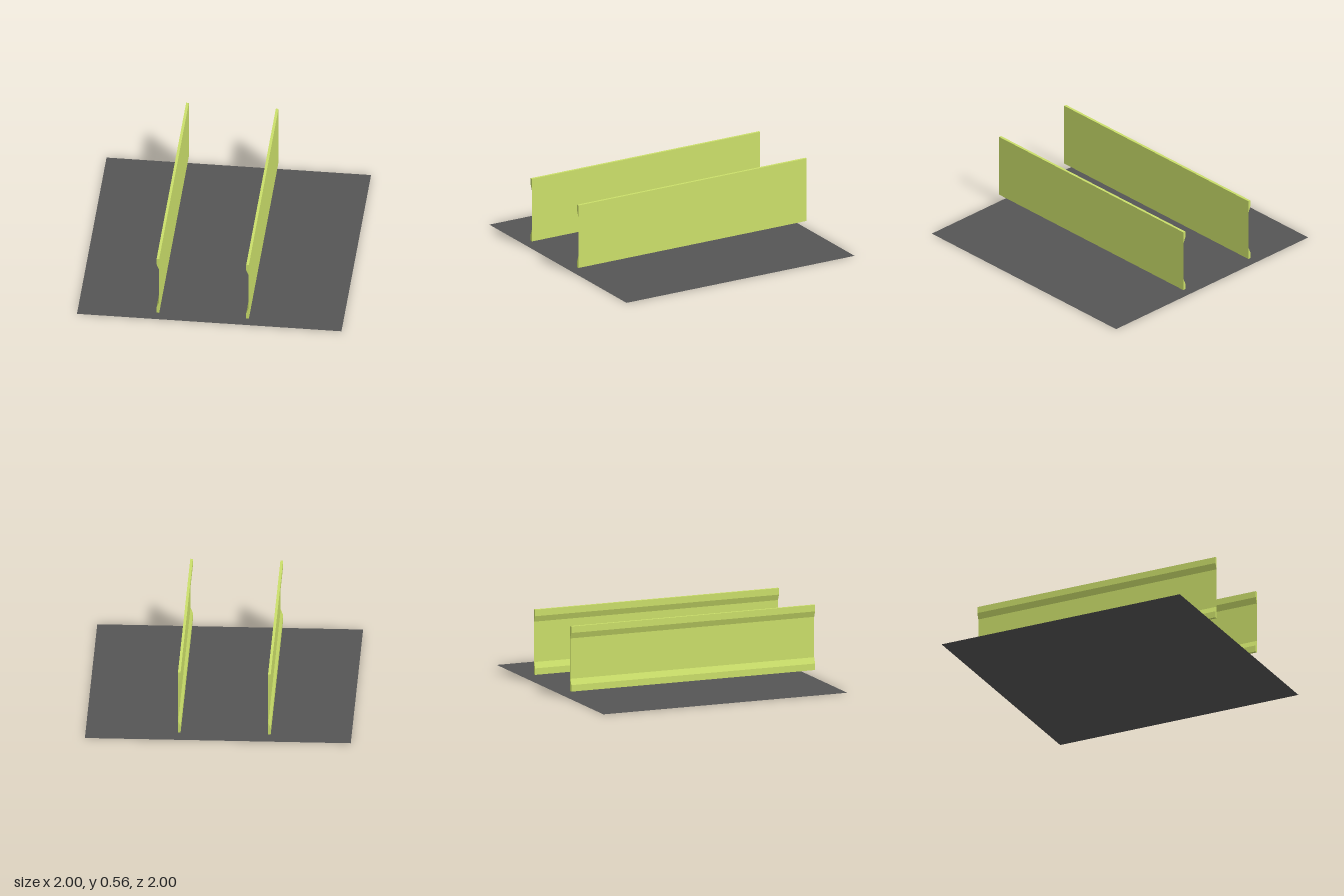
import * as THREE from 'three';

const LENGTH = 2;

// Rail cross-section: flat on +x, thin web, bulged flanges towards -x
function railGeometry() {
  const half = [[-0.01, 0.25], [-0.01, 0.2], [0.008, 0.155]];
  const mirrored = half.map(([x, y]) => [x, -y]).reverse();
  const points = [[0.01, 0.25], ...half, ...mirrored, [0.01, -0.25]];
  const shape = new THREE.Shape(points.map(([x, y]) => new THREE.Vector2(x, y)));
  const geometry = new THREE.ExtrudeGeometry(shape, { depth: LENGTH, bevelEnabled: false });
  return geometry.translate(0, 0, -LENGTH / 2);
}

export function createModel() {
  const model = new THREE.Group();
  model.name = 'railsOnFloor';

  // Thin square floor sheet
  const floor = new THREE.Mesh(
    new THREE.PlaneGeometry(2, LENGTH).rotateX(-Math.PI / 2),
    new THREE.MeshStandardMaterial({ color: 0x555555, side: THREE.DoubleSide })
  );
  floor.name = 'floor';
  model.add(floor);

  // Two identical upright rails, floating just above the floor
  const geometry = railGeometry();
  const material = new THREE.MeshStandardMaterial({ color: 0xcbdf6a, flatShading: true });
  for (const [name, x] of [['rightRail', -0.388], ['leftRail', 0.29]]) {
    const rail = new THREE.Mesh(geometry, material);
    rail.name = name;
    rail.position.set(x, 0.31, 0);
    model.add(rail);
  }
  return model;
}
